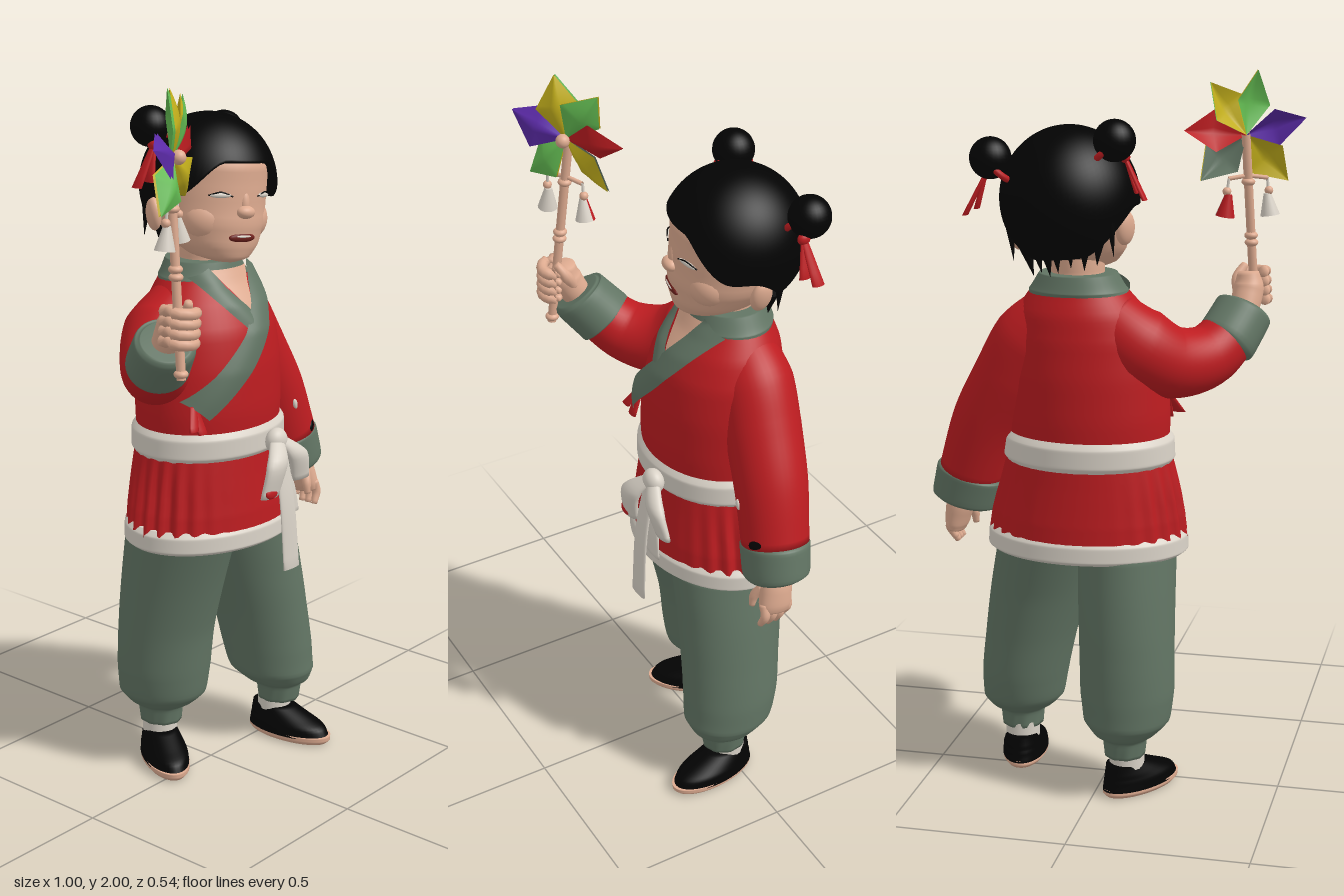
import * as THREE from 'three';

const V = (x, y, z) => new THREE.Vector3(x, y, z);
const material = (name, color) => Object.assign(new THREE.MeshStandardMaterial({ color, side: THREE.DoubleSide }), { name });
const red = material('red cloth', 0xbc1c20), sage = material('sage cloth', 0x627564), cream = material('cream cloth', 0xd9d2c7);
const black = material('black', 0x030303), skin = material('skin', 0xdeab90), mouthRed = material('mouth red', 0x6e211c);
const yellow = material('yellow foil', 0xc4b01c), lime = material('green foil', 0x63bb52), purple = material('purple foil', 0x5a2aa5);

// Grid surface from a rule f(u, v); u can close on itself
function surface(f, nu, nv, wrap = false) {
  const pos = [], idx = [], cols = wrap ? nu : nu + 1;
  for (let i = 0; i <= nv; i++) for (let j = 0; j < cols; j++) pos.push(...f(j / nu, i / nv).toArray());
  for (let i = 0; i < nv; i++) for (let j = 0; j < nu; j++) {
    const a = i * cols + j, b = i * cols + (j + 1) % cols;
    idx.push(a, a + cols, b, b, a + cols, b + cols);
  }
  const g = new THREE.BufferGeometry();
  g.setAttribute('position', new THREE.Float32BufferAttribute(pos, 3));
  g.setIndex(idx);
  g.computeVertexNormals();
  return g;
}

// Smooth curve through rings [x, y, z, rx, rz]
const curves = rings => ({
  centre: new THREE.CatmullRomCurve3(rings.map(r => V(r[0], r[1], r[2]))),
  size: rings.map(r => [r[3], r[4] ?? r[3]]),
});
function radiusAt(size, t) {
  const k = Math.min(t * (size.length - 1), size.length - 1.0001), i = Math.floor(k), f = k - i;
  return [0, 1].map(n => THREE.MathUtils.lerp(size[i][n], size[i + 1][n], f));
}

// Closed body through rings; level rings stay horizontal, others follow the path
function sweep(rings, { level = true, seg = 40, rows = 28, mod = () => 1 } = {}) {
  const { centre, size } = curves(rings), ref = V(0, 0, 1);
  return surface((u, v) => {
    const cap = v === 0 || v === 1 ? 0.001 : 1;
    const t = THREE.MathUtils.clamp((v * (rows + 2) - 1) / rows, 0, 1), a = u * Math.PI * 2;
    const T = level ? V(0, 1, 0) : centre.getTangent(t), U = T.clone().cross(ref).normalize(), W = U.clone().cross(T);
    const [rx, rz] = radiusAt(size, t), k = cap * mod(a, t);
    return centre.getPoint(t).addScaledVector(U, Math.cos(a) * rx * k).addScaledVector(W, Math.sin(a) * rz * k);
  }, seg, rows + 2, true);
}

function add(parent, name, geo, mat, p = [0, 0, 0], r = [0, 0, 0], s = [1, 1, 1]) {
  const m = new THREE.Mesh(geo, mat);
  m.name = name;
  m.position.set(...p); m.rotation.set(...r); m.scale.set(...s);
  parent.add(m);
}
const ball = (r = 1) => new THREE.SphereGeometry(r, 28, 20);
const rod = (pts, r) => new THREE.TubeGeometry(new THREE.CatmullRomCurve3(pts.map(p => V(...p))), 14, r, 10);
const finger = (pts, r) => sweep(pts.map((p, i) => [...p, i === pts.length - 1 ? r * 0.65 : r]), { level: false, seg: 12, rows: 10 });

const torso = [[.04, .98, -.045, .222, .18], [.04, 1.08, -.045, .226, .186], [.045, 1.2, -.048, .222, .182], [.05, 1.3, -.055, .208, .168],
  [.055, 1.37, -.068, .18, .145], [.058, 1.42, -.078, .142, .117], [.06, 1.465, -.082, .105, .098]];

// Point lying just outside the front of the jacket
function onChest(x, y, off) {
  const h = Math.min(y, 1.464), i = torso.findIndex(r => r[1] > h) - 1;
  const f = (h - torso[i][1]) / (torso[i + 1][1] - torso[i][1]);
  const [cx, , cz, rx, rz] = torso[i].map((n, k) => THREE.MathUtils.lerp(n, torso[i + 1][k], f));
  const d = (x - cx) / (rx + off);
  return V(x, y, cz + (rz + off) * Math.sqrt(Math.max(0, 1 - d * d)));
}
function chestBand(pts, width, off) {
  const c = new THREE.CatmullRomCurve3(pts.map(p => V(p[0], p[1], 0)));
  return surface((u, v) => {
    const p = c.getPoint(u), t = c.getTangent(u), w = (v - .5) * width;
    return onChest(p.x - t.y * w, p.y + t.x * w, off + .006 * Math.sin(v * Math.PI));
  }, 28, 8);
}

function buildClothes(g) {
  add(g, 'jacket', sweep(torso, { seg: 56 }), red);
  add(g, 'collarBack', sweep([[.058, 1.42, -.08, .139, .113], [.06, 1.432, -.082, .136, .115], [.06, 1.478, -.084, .106, .1]]), sage);
  add(g, 'neckOpening', surface((u, v) => onChest(.048 + (u - .5) * .13 * v, 1.345 + .115 * v, .016), 10, 10), skin);
  add(g, 'collarUnder', chestBand([[-.045, 1.455], [-.015, 1.39], [.04, 1.32]], .055, .019), sage);
  add(g, 'collarOver', chestBand([[.15, 1.455], [.1, 1.375], [.035, 1.29], [-.06, 1.195], [-.155, 1.105]], .072, .022), sage);
  for (const [x, y] of [[-.185, 1.06], [-.15, 1.045]])
    add(g, 'sideTie', sweep([[-.155, 1.12, .07, .012, .008], [x, y, .1, .018, .006]], { rows: 6, seg: 12 }), red);
  // Pleats gather at both sides of the skirt
  add(g, 'skirt', sweep([[.04, 1, -.045, .222, .182], [.04, .9, -.043, .243, .19], [.044, .8, -.041, .264, .2], [.045, .74, -.04, .272, .203]],
    { seg: 160, mod: (a, t) => 1 + .04 * Math.min(1, t * 2) * Math.cos(28 * a) * Math.cos(a) ** 4 }), red);
  add(g, 'skirtHem', sweep([[.045, .695, -.04, .272, .198], [.045, .705, -.04, .284, .21], [.045, .745, -.04, .282, .208], [.045, .76, -.04, .268, .198]], { seg: 56 }), cream);
  add(g, 'sash', sweep([[.04, .948, -.045, .228, .183], [.04, .965, -.045, .24, .195], [.04, 1.015, -.045, .237, .195], [.04, 1.035, -.045, .222, .182]], { seg: 56 }), cream);
  // Sash bow
  add(g, 'bowKnot', ball(), cream, [.085, .985, .165], [0, 0, 0], [.036, .036, .028]);
  for (const [x, z, y] of [[.015, .2, .845], [.17, .185, .86]])
    add(g, 'bowLoop', sweep([[.085, 1, .165, .02, .014], [(x * 2 + .085) / 3, .94, z + .008, .04, .02], [x, y, z, .036, .014]], { rows: 12, seg: 20 }), cream);
  add(g, 'bowLining', ball(), red, [.01, .86, .211], [-.1, 0, 0], [.024, .016, .008]);
  add(g, 'bowTail', sweep([[.085, .98, .175, .026, .009], [.085, .82, .205, .031, .008], [.09, .62, .22, .034, .006]], { rows: 12, seg: 20 }), cream);
  add(g, 'bowTailShort', sweep([[.085, .98, .165, .022, .009], [.115, .84, .185, .03, .008], [.125, .77, .19, .032, .006]], { rows: 12, seg: 20 }), cream);
  // Trousers
  const folds = (a, t) => 1 + .022 * Math.sin(9 * a + t * 8) * Math.max(0, 1 - t * 2.5);
  const right = [[-.08, .115, -.125, .056, .062], [-.08, .165, -.125, .063, .069], [-.08, .182, -.122, .088, .098], [-.083, .22, -.113, .122, .13], [-.083, .3, -.108, .132, .137],
    [-.08, .42, -.1, .133, .142], [-.075, .56, -.08, .135, .155], [-.07, .72, -.05, .137, .17]];
  const left = [[.263, .115, .04, .058, .062], [.263, .165, .04, .064, .069], [.26, .182, .036, .088, .098], [.252, .22, .02, .116, .132], [.243, .3, .008, .124, .14],
    [.222, .42, -.002, .13, .144], [.192, .56, -.015, .14, .152], [.152, .72, -.035, .148, .17]];
  for (const [name, rings] of [['rightTrouserLeg', right], ['leftTrouserLeg', left]])
    add(g, name, sweep(rings, { seg: 64, rows: 40, mod: folds }), sage);
}

function buildShoe(g, name, x, z, turn) {
  const shoe = new THREE.Group();
  shoe.name = name;
  shoe.position.set(x, 0, z); shoe.rotation.y = turn;
  add(shoe, 'sole', sweep([[0, 0, 0, .056, .126], [0, .01, 0, .064, .136], [0, .024, .001, .064, .136]], { rows: 8 }), skin);
  add(shoe, 'upper', sweep([[0, .018, -.002, .065, .134], [0, .045, -.008, .063, .124], [0, .066, -.03, .056, .098], [0, .092, -.058, .046, .065]], { rows: 14 }), black);
  add(shoe, 'sock', new THREE.CylinderGeometry(.05, .05, .06, 24), cream, [0, .105, -.055]);
  g.add(shoe);
}

function buildArms(g) {
  add(g, 'leftSleeve', sweep([[.13, 1.355, -.085, .088], [.195, 1.285, -.085, .104], [.253, 1.18, -.075, .105], [.325, 1.05, -.06, .1], [.383, .89, -.042, .092]], { level: false }), red);
  add(g, 'leftCuff', sweep([[.378, .9, -.043, .09], [.381, .89, -.042, .102, .094], [.402, .812, -.035, .098, .09], [.405, .8, -.035, .08, .075]], { level: false, rows: 16 }), sage);
  // Worn patches on the sleeve
  add(g, 'darkPatch', ball(), black, [.41, .925, .034], [0, .55, .3], [.024, .018, .008]);
  add(g, 'palePatch', ball(), cream, [.325, 1.012, .041], [0, 0, .3], [.008, .016, .006]);
  add(g, 'leftHand', sweep([[.41, .83, -.03, .035], [.425, .785, -.02, .04, .045], [.437, .735, -.012, .034, .048], [.44, .715, -.01, .026, .044]], { level: false, rows: 14 }), skin);
  for (let i = 0; i < 4; i++) {
    const z = -.045 + i * .023, drop = i === 0 ? .015 : 0;
    add(g, 'leftFinger', finger([[.44, .745, z], [.45, .71 + drop, z + .003], [.434, .675 + drop, z + .008]], .0135), skin);
  }
  add(g, 'leftThumb', finger([[.415, .785, .012], [.398, .75, .03], [.396, .718, .036]], .0135), skin);
  // Raised arm
  add(g, 'rightSleeve', sweep([[-.02, 1.35, -.09, .09], [-.105, 1.28, -.085, .11], [-.185, 1.23, -.035, .1], [-.27, 1.235, .04, .087], [-.335, 1.3, .115, .076]], { level: false }), red);
  add(g, 'rightCuff', sweep([[-.312, 1.265, .085, .074], [-.317, 1.272, .09, .086], [-.354, 1.345, .15, .082], [-.358, 1.355, .156, .066]], { level: false, rows: 16 }), sage);
  add(g, 'rightHand', sweep([[-.352, 1.32, .135, .036], [-.358, 1.37, .168, .042], [-.362, 1.41, .186, .043], [-.36, 1.45, .19, .03]], { level: false, rows: 14 }), skin);
  for (let i = 0; i < 4; i++) {
    const y = 1.365 + i * .026, x = -.372 + i * .002;
    add(g, 'rightFinger', finger([[x - .036, y + .008, .185], [x - .034, y + .004, .232], [x, y, .252], [x + .03, y - .003, .238], [x + .026, y - .004, .212]], .0155), skin);
  }
  add(g, 'rightThumb', finger([[-.335, 1.39, .175], [-.328, 1.43, .2], [-.345, 1.465, .222]], .0165), skin);
}

function buildHead(g) {
  add(g, 'neck', sweep([[.06, 1.4, -.08, .08], [.062, 1.48, -.08, .073], [.07, 1.56, -.08, .078]]), skin);
  const head = new THREE.Group();
  head.name = 'head';
  head.position.set(.083, 1.675, -.083);
  head.rotation.set(0, -.2, -.1);
  g.add(head);
  add(head, 'face', sweep([[0, -.198, .085, .035, .045], [0, -.185, .07, .08, .088], [0, -.15, .043, .12, .126], [0, -.09, .015, .15, .16], [0, -.01, 0, .156, .17],
    [0, .07, 0, .156, .168], [0, .14, 0, .11, .11], [0, .165, 0, .04, .04]], { seg: 56 }), skin);
  add(head, 'nose', ball(), skin, [0, -.055, .172], [0, 0, 0], [.028, .018, .021]);
  add(head, 'noseBridge', ball(), skin, [0, -.03, .163], [-.15, 0, 0], [.014, .035, .014]);
  for (const s of [-1, 1]) {
    add(head, 'cheek', ball(), skin, [s * .07, -.085, .095], [0, s * .45, 0], [.068, .06, .053]);
    add(head, 'ear', ball(), skin, [s * .163, -.085, -.02], [0, s * .3, s * -.15], [.02, .046, .032]);
    add(head, 'eye', ball(), cream, [s * .074, -.012, .151], [0, s * .45, s * -.04], [.03, .007, .006]);
    add(head, 'eyelid', rod([[-.034, -.003, -.003], [0, .008, .003], [.034, -.003, -.003]], .002), black, [s * .074, -.011, .153], [0, s * .45, 0]);
  }
  add(head, 'mouth', ball(), mouthRed, [0, -.125, .165], [.15, 0, 0], [.044, .013, .011]);
  add(head, 'teeth', ball(), cream, [0, -.121, .172], [.15, 0, 0], [.026, .004, .005]);
  // Hair cap: the hairline drops from the brow to the nape
  const step = (x, a, b) => THREE.MathUtils.smoothstep(x, a, b);
  add(head, 'hair', surface((u, v) => {
    const a = u * Math.PI * 2, around = Math.min(a, Math.PI * 2 - a) * 180 / Math.PI;
    const low = 66 + 33 * step(around, 22, 70) + 42 * step(around, 85, 145);
    const t = Math.min(1, v / .96) * low * Math.PI / 180, k = v > .97 ? .83 : 1;
    return V(.188 * k * Math.sin(a) * Math.sin(t), .195 * k * Math.cos(t), .193 * k * Math.cos(a) * Math.sin(t));
  }, 72, 32, true), black);
  for (let i = -3; i <= 3; i++)
    add(head, 'napeStrand', new THREE.ConeGeometry(.02, .08, 8), black, [i * .034, -.148 - (i % 2) * .01, -.112 + Math.abs(i) * .014], [Math.PI, 0, i * .06]);
  for (const s of [-1, 1]) add(head, 'sideLock', new THREE.ConeGeometry(.016, .11, 8), black, [s * .148, -.1, -.075], [Math.PI, 0, 0]);
  // Buns with ribbons
  for (const [x, y, z, s] of [[-.058, 1.838, -.165, -1], [.272, 1.788, -.188, 1]]) {
    add(g, 'hairBun', ball(.056), black, [x, y, z]);
    add(g, 'bunRibbon', new THREE.TorusGeometry(.042, .009, 10, 28), red, [x - s * .025, y - .03, z + .008], [Math.PI / 2, s * .75, 0]);
    const kx = x + s * .022, ky = y - .045, kz = z + .03;
    add(g, 'ribbonKnot', ball(), red, [kx, ky, kz], [0, 0, 0], [.013, .016, .018]);
    for (const [dx, dz, dy] of [[.055, -.012, -.11], [.03, .012, -.095]])
      add(g, 'ribbonTail', sweep([[kx, ky, kz, .005, .007], [kx + s * dx, ky + dy, kz + dz, .007, .018]], { rows: 4, seg: 12 }), red);
  }
}

function buildPinwheel(g) {
  const toy = new THREE.Group();
  toy.name = 'pinwheel';
  g.add(toy);
  const at = y => [-.378 + (y - 1.28) * .051, y, .225 - (y - 1.28) * .109];
  add(toy, 'stick', rod([at(1.27), at(1.55), at(1.83)], .0125), skin);
  for (const y of [1.285, 1.53, 1.55, 1.7]) add(toy, 'stickRing', ball(), skin, at(y), [0, 0, 0], [.019, .012, .019]);
  const wheel = new THREE.Group();
  wheel.name = 'wheel';
  wheel.position.set(-.35, 1.828, .172); wheel.rotation.y = .49;
  toy.add(wheel);
  add(wheel, 'hub', ball(.019), skin, [0, 0, .018]);
  // Folded blades, each tilted about its own length, lined in a second colour
  const blade = surface((u, v) => V(.178 * v, (u - .45) * .12 * Math.min(v / .5, (1 - v) / .5), .022 * Math.sin(Math.PI * v) * (1 - Math.abs(u * 2 - 1))), 8, 20);
  const blades = [[100, yellow, lime], [54, lime, yellow], [5, red, red], [-43, yellow, sage], [-134, lime, yellow], [166, purple, purple]];
  for (const [deg, front, back] of blades) {
    const holder = new THREE.Group();
    holder.name = 'bladeHolder';
    holder.rotation.z = deg * Math.PI / 180;
    add(holder, 'bladeFront', blade, front, [0, 0, .003], [.4, 0, 0]);
    add(holder, 'bladeBack', blade, back, [0, 0, -.003], [.4, 0, 0]);
    wheel.add(holder);
  }
  // Crossbar and tassels
  const [cx, cy, cz] = at(1.71);
  add(toy, 'crossbar', rod([[cx - .05, cy, cz + .025], [cx, cy + .006, cz], [cx + .05, cy, cz - .025]], .006), skin);
  for (const s of [-1, 1]) {
    const x = cx + s * .054, z = cz - s * .027;
    add(toy, 'tasselCord', rod([[x - s * .005, cy, z], [x, cy - .045, z]], .004), cream);
    add(toy, 'tasselBead', ball(.012), skin, [x, cy - .035, z]);
    for (const [start, mat] of [[-.36, cream], [.64, s > 0 ? red : cream]])
      add(toy, 'tasselHalf', new THREE.CylinderGeometry(.01, .027, .062, 10, 1, false, start * Math.PI, Math.PI), mat, [x, cy - .073, z], [0, 0, s * .15]);
  }
}

export function createModel() {
  const g = new THREE.Group();
  g.name = 'childWithPinwheel';
  buildClothes(g);
  buildShoe(g, 'leftShoe', .267, .082, .12);
  buildShoe(g, 'rightShoe', -.116, -.077, -.58);
  buildArms(g);
  buildHead(g);
  buildPinwheel(g);
  return g;
}
